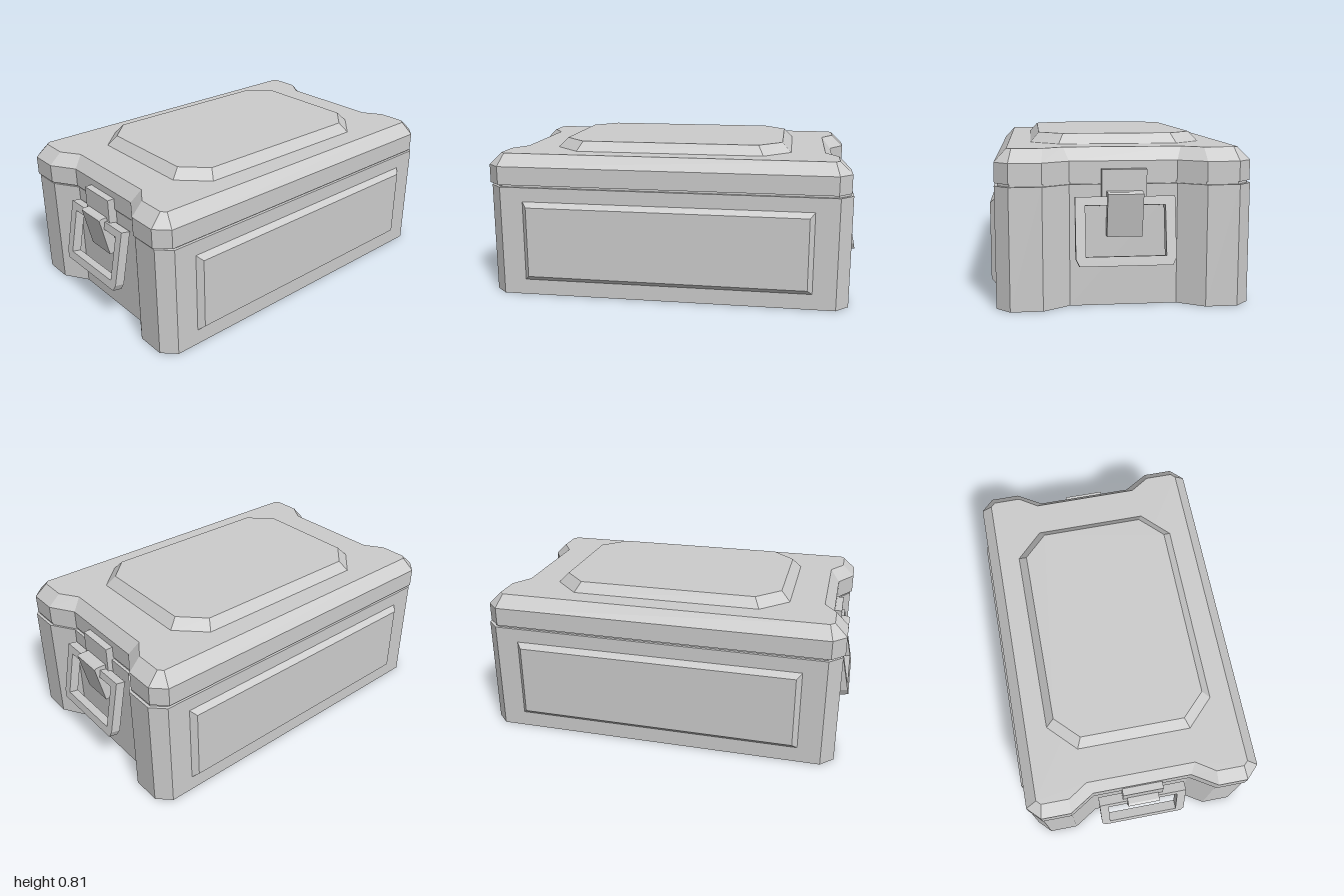
import * as THREE from 'three';

const material = new THREE.MeshStandardMaterial({ color: 0xcccccc, flatShading: true });

function part(name, geometry, parent) {
  const mesh = new THREE.Mesh(geometry, material);
  mesh.name = name;
  parent.add(mesh);
  return mesh;
}

// Mirror one quadrant of points into a full counter-clockwise ring
function ring(q) {
  const r = [...q].reverse();
  return [
    ...q,
    ...r.map(([x, z]) => [-x, z]),
    ...q.map(([x, z]) => [-x, -z]),
    ...r.map(([x, z]) => [x, -z]),
  ].map(([x, z]) => new THREE.Vector2(x, z));
}

// Closed solid through quadrant outlines stacked in y: [[y, quadrant], ...]
function loft(levels) {
  const rings = levels.map(([y, q]) => ring(q).map((p) => new THREE.Vector3(p.x, y, -p.y)));
  const out = [];
  const tri = (...pts) => pts.forEach((p) => out.push(p.x, p.y, p.z));
  for (let k = 0; k < rings.length - 1; k++) {
    const a = rings[k], b = rings[k + 1];
    a.forEach((p, i) => {
      const j = (i + 1) % a.length;
      tri(p, a[j], b[j]);
      tri(p, b[j], b[i]);
    });
  }
  const cap = (r, level, up) => {
    for (const [i, j, k] of THREE.ShapeUtils.triangulateShape(ring(level[1]), [])) {
      if (up) tri(r[i], r[j], r[k]);
      else tri(r[i], r[k], r[j]);
    }
  };
  cap(rings[0], levels[0], false);
  cap(rings[rings.length - 1], levels[levels.length - 1], true);
  const g = new THREE.BufferGeometry();
  g.setAttribute('position', new THREE.Float32BufferAttribute(out, 3));
  g.computeVertexNormals();
  return g;
}

function polygon(points) {
  return new THREE.Shape(points.map(([x, y]) => new THREE.Vector2(x, y)));
}

export function createModel() {
  const model = new THREE.Group();
  model.name = 'storageCase';

  // Plan outlines with chamfered corners and waisted ends
  const outer = [[0.875, 0.26], [0.955, 0.39], [0.955, 0.545], [0.888, 0.612]];
  const seam = [[0.86, 0.255], [0.94, 0.385], [0.94, 0.54], [0.88, 0.597]];
  const lidTop = [[0.825, 0.285], [0.89, 0.385], [0.89, 0.53], [0.868, 0.553]];

  // Body and recessed seam
  part('body', loft([[0, outer], [0.592, outer]]), model);
  part('seam', loft([[0.585, seam], [0.615, seam]]), model);

  // Lid with bevelled rim, raised top panel and latch brackets
  const lid = new THREE.Group();
  lid.name = 'lid';
  lid.position.x = -0.01;
  model.add(lid);
  part('lidShell', loft([[0.604, outer], [0.702, outer], [0.765, lidTop]]), lid);
  part('topPanel', loft([
    [0.76, [[0.65, 0.302], [0.505, 0.445]]],
    [0.815, [[0.597, 0.275], [0.475, 0.397]]],
  ]), lid);
  for (const s of [1, -1]) {
    part('latchBracket', new THREE.BoxGeometry(0.045, 0.165, 0.216), lid)
      .position.set(s * 0.89, 0.5825, 0);
  }

  // Raised bevelled panels on front and back
  const panelGeometry = loft([
    [0, [[0.77, 0.22]]],
    [0.032, [[0.74, 0.19]]],
  ]).rotateX(Math.PI / 2);
  for (const s of [1, -1]) {
    const panel = part(s > 0 ? 'frontPanel' : 'backPanel', panelGeometry, model);
    panel.position.set(0, 0.3, s * 0.608);
    if (s < 0) panel.rotation.y = Math.PI;
  }

  // Carry handle: chamfered frame, extruded and hung with its lower edge outward
  const frame = polygon([
    [-0.237, 0.326], [-0.237, 0.035], [-0.22, 0], [0.22, 0], [0.237, 0.035], [0.237, 0.326],
  ]);
  frame.holes.push(polygon([[-0.19, 0.045], [-0.19, 0.285], [0.19, 0.285], [0.19, 0.045]]));
  const handleGeometry = new THREE.ExtrudeGeometry(frame, { depth: 0.05, bevelEnabled: false })
    .translate(0, 0, -0.05).rotateY(Math.PI / 2);

  // Clasp lever: wedge leaning outward at the top
  const claspGeometry = new THREE.ExtrudeGeometry(
    polygon([[0.875, 0.345], [0.92, 0.345], [0.967, 0.555], [0.955, 0.562], [0.9, 0.562]]),
    { depth: 0.17, bevelEnabled: false },
  ).translate(0, 0, -0.085);

  for (const s of [1, -1]) {
    const end = new THREE.Group();
    end.name = s > 0 ? 'leftEndFittings' : 'rightEndFittings';
    const handle = part('handle', handleGeometry, end);
    handle.position.set(1, 0.222, 0);
    handle.rotation.z = 0.2;
    part('clasp', claspGeometry, end);
    if (s < 0) end.rotation.y = Math.PI;
    model.add(end);
  }

  return model;
}
